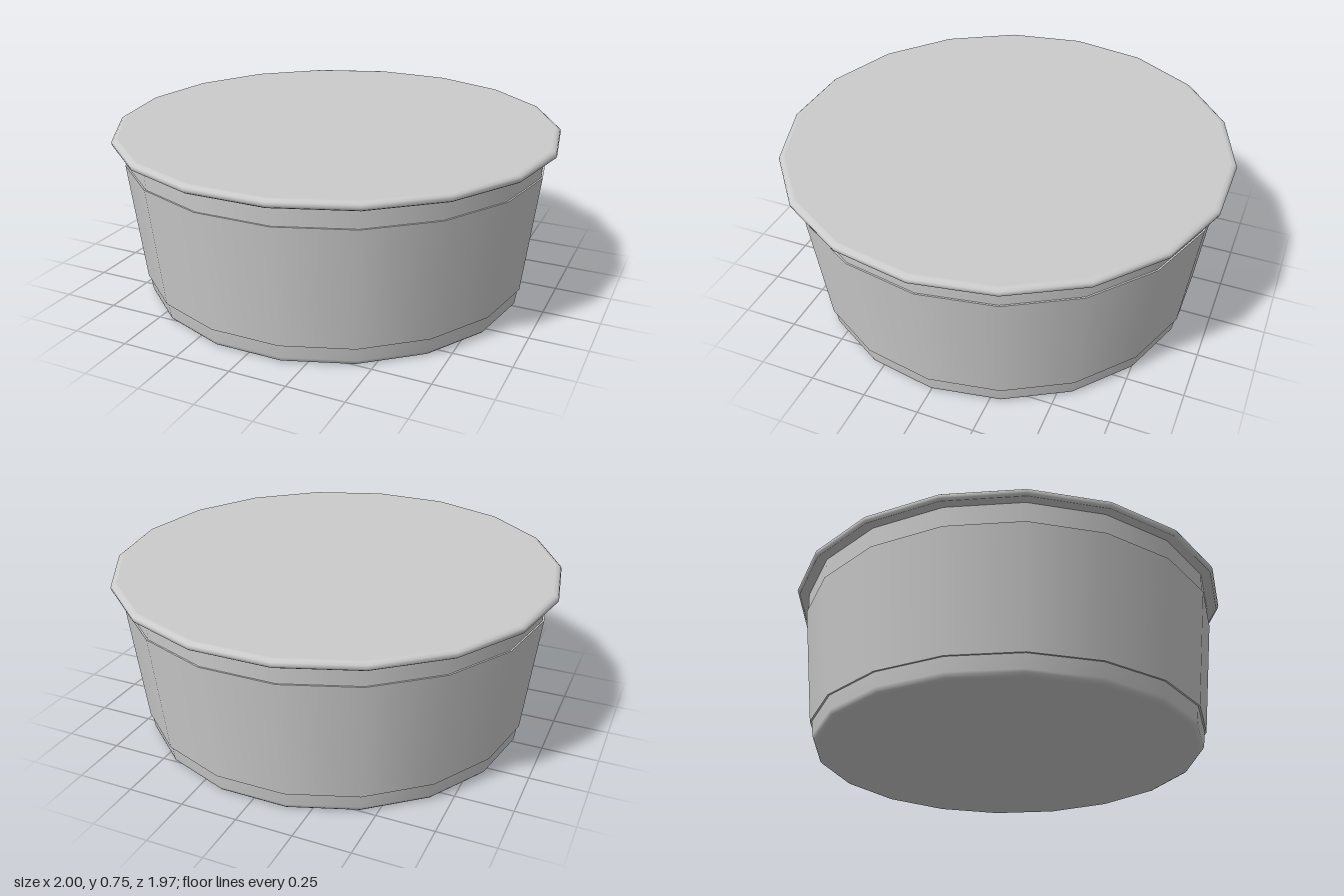
import * as THREE from 'three';

const SIDES = 18;
const material = new THREE.MeshStandardMaterial({ color: 0xcccccc });

// Revolve a profile of [radius, y] points, starting with a corner on the x axis
function ring(name, profile) {
  const points = profile.map(([r, y]) => new THREE.Vector2(r, y));
  const mesh = new THREE.Mesh(new THREE.LatheGeometry(points, SIDES, Math.PI / 2), material);
  mesh.name = name;
  return mesh;
}

// Flat disc facing up (1) or down (-1)
function disc(name, radius, y, facing) {
  const mesh = new THREE.Mesh(new THREE.CircleGeometry(radius, SIDES), material);
  mesh.rotation.x = -facing * Math.PI / 2;
  mesh.position.y = y;
  mesh.name = name;
  return mesh;
}

export function createModel() {
  const group = new THREE.Group();
  group.name = 'lidded tub';

  // Base with a small rounded bottom edge
  group.add(disc('base', 0.852, 0, -1));
  group.add(ring('baseEdge', [[0.852, 0], [0.862, 0.004], [0.869, 0.012], [0.872, 0.024], [0.88, 0.085]]));

  // Tapered wall with a fine step at each end
  group.add(ring('lowerStep', [[0.88, 0.085], [0.888, 0.085]]));
  group.add(ring('wall', [[0.888, 0.085], [0.949, 0.62]]));
  group.add(ring('upperStep', [[0.949, 0.62], [0.942, 0.62]]));
  group.add(ring('collar', [[0.942, 0.62], [0.946, 0.71]]));

  // Lid with a rounded overhanging rim
  group.add(ring('rimUnderside', [[0.946, 0.71], [0.988, 0.71]]));
  group.add(ring('rim', [[0.988, 0.71], [0.997, 0.716], [1, 0.727], [0.997, 0.736], [0.988, 0.743], [0.975, 0.745]]));
  group.add(disc('lid', 0.975, 0.745, 1));

  return group;
}
